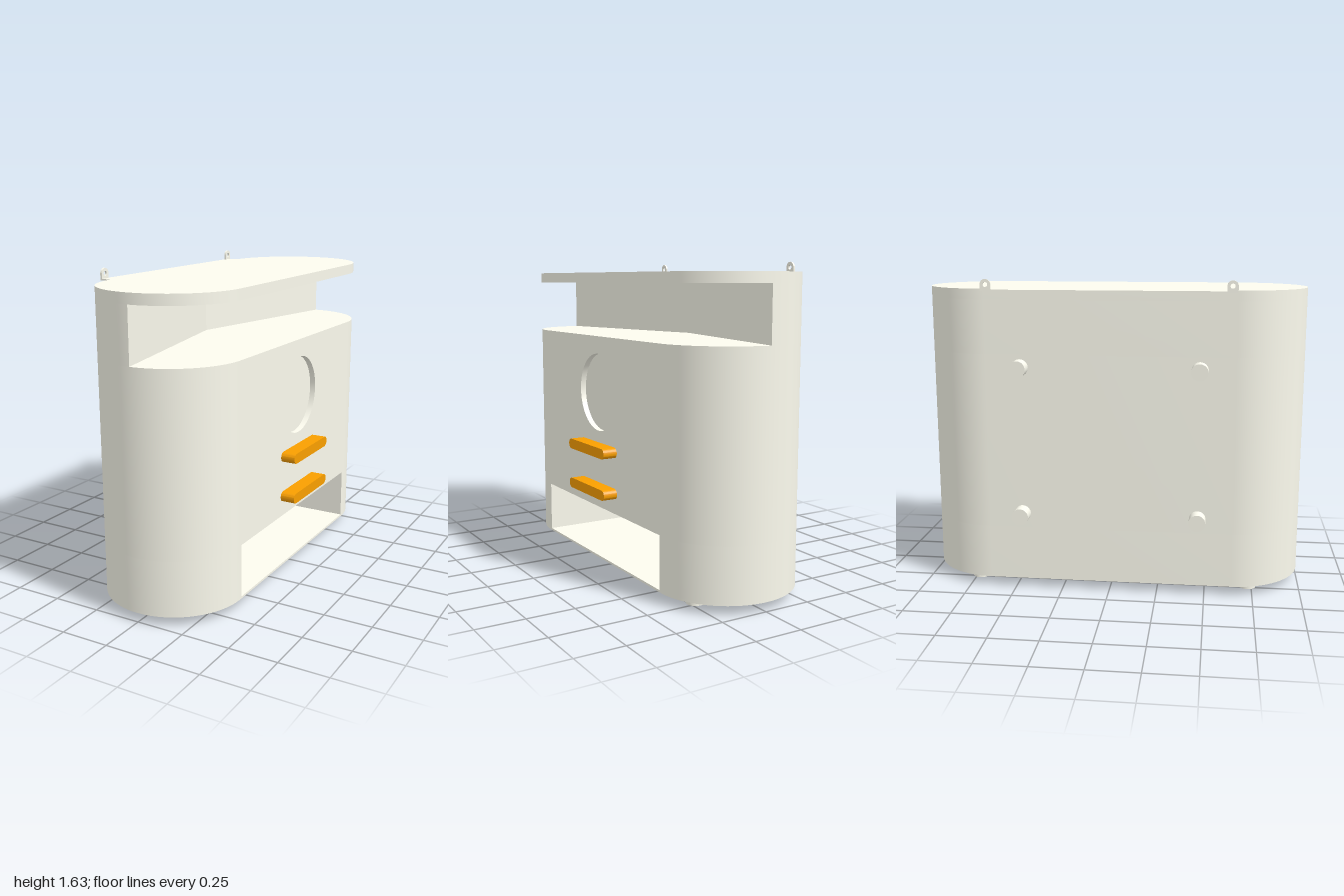
import * as THREE from 'three';
import { toCreasedNormals } from 'three/addons/utils/BufferGeometryUtils.js';

const R = 0.363;            // radius of the rounded ends
const S = 0.637;            // half length of the straight sides
const CX = -0.003;          // centre line of the body
const FRONT = CX + R;       // flat face carrying the bars
const BASE = 0.047;         // underside of the body

export function createModel() {
  const model = new THREE.Group();
  const cream = new THREE.MeshStandardMaterial({ color: 0xfcfbee });
  const orange = new THREE.MeshStandardMaterial({ color: 0xf99f00 });

  const add = (name, geometry, x, y, z, material = cream) => {
    const mesh = new THREE.Mesh(geometry, material);
    mesh.name = name;
    mesh.position.set(x, y, z);
    model.add(mesh);
  };

  const extrude = (shape, depth, curveSegments) =>
    new THREE.ExtrudeGeometry(shape, { depth, bevelEnabled: false, curveSegments });

  // Horizontal slice of the body between two heights
  const slice = (name, shape, y0, y1, segments = 32) =>
    add(name, toCreasedNormals(extrude(shape, y1 - y0, segments).rotateX(-Math.PI / 2), 0.3), 0, y0, 0);

  // Upright panel whose thickness runs along x
  const panel = (name, shape, depth, x, y, z, material) =>
    add(name, toCreasedNormals(extrude(shape, depth, 32).rotateY(Math.PI / 2), 0.3), x, y, z, material);

  // Rounded footprint, optionally with a rectangular pocket in its +x side
  const footprint = (pocketX, pocketZ) => {
    const s = new THREE.Shape();
    s.absarc(CX, S, R, 0, Math.PI, false);
    s.absarc(CX, -S, R, Math.PI, Math.PI * 2, false);
    if (pocketZ) {
      s.lineTo(FRONT, -pocketZ);
      s.lineTo(pocketX, -pocketZ);
      s.lineTo(pocketX, pocketZ);
      s.lineTo(FRONT, pocketZ);
    }
    s.closePath();
    return s;
  };

  // Body: floor, open lower compartment, main block, lid
  slice('floor', footprint(), BASE, 0.058);
  slice('lowerCompartment', footprint(-0.3, 0.628), 0.058, 0.332);
  slice('mainBody', footprint(FRONT - 0.03, 0.62), 0.332, 1.25);
  slice('lid', footprint(), 1.527, 1.58);

  // Rear half behind the upper opening, with a shallow V-shaped inner wall
  const rear = new THREE.Shape();
  rear.absarc(CX, S, R, Math.PI / 2, Math.PI, false);
  rear.absarc(CX, -S, R, Math.PI, Math.PI * 1.5, false);
  rear.lineTo(-0.21, 0);
  rear.closePath();
  slice('upperRearWall', rear, 1.25, 1.527, 16);

  // Front panel with the round recess
  const face = new THREE.Shape([
    new THREE.Vector2(-0.62, 0.332), new THREE.Vector2(0.62, 0.332),
    new THREE.Vector2(0.62, 1.25), new THREE.Vector2(-0.62, 1.25),
  ]);
  face.holes.push(new THREE.Path().absarc(0, 0.953, 0.205, 0, Math.PI * 2, true));
  panel('frontPanel', face, 0.03, FRONT - 0.03, 0, 0);

  // Two round-ended bars
  const bar = new THREE.Shape();
  bar.absarc(0.176, 0, 0.027, -Math.PI / 2, Math.PI / 2, false);
  bar.absarc(-0.176, 0, 0.027, Math.PI / 2, Math.PI * 1.5, false);
  bar.closePath();
  for (const y of [0.44, 0.658]) panel('frontBar', bar, 0.077, FRONT, y, 0, orange);

  // Hanging strip along the back with two eyelets
  add('hangingStrip', new THREE.BoxGeometry(0.07, 0.008, 1.27), -0.395, 1.576, 0);
  const eyelet = new THREE.Shape();
  eyelet.moveTo(-0.027, 0);
  eyelet.lineTo(0.027, 0);
  eyelet.absarc(0, 0.025, 0.027, 0, Math.PI, false);
  eyelet.closePath();
  eyelet.holes.push(new THREE.Path().absarc(0, 0.025, 0.012, 0, Math.PI * 2, true));

  // Paired parts on both ends: eyelets, feet, back pegs
  const foot = new THREE.CylinderGeometry(0.045, 0.045, BASE, 32);
  const peg = new THREE.CylinderGeometry(0.043, 0.043, 0.08, 32).rotateZ(Math.PI / 2);
  for (const side of [-1, 1]) {
    panel('eyelet', eyelet, 0.01, -0.43, 1.58, side * 0.608);
    for (const x of [-0.23, 0.22]) add('foot', foot, x, BASE / 2, side * 0.728);
    for (const y of [0.41, 1.184]) add('backPeg', peg, -0.4, y, side * 0.458);
  }
  return model;
}
